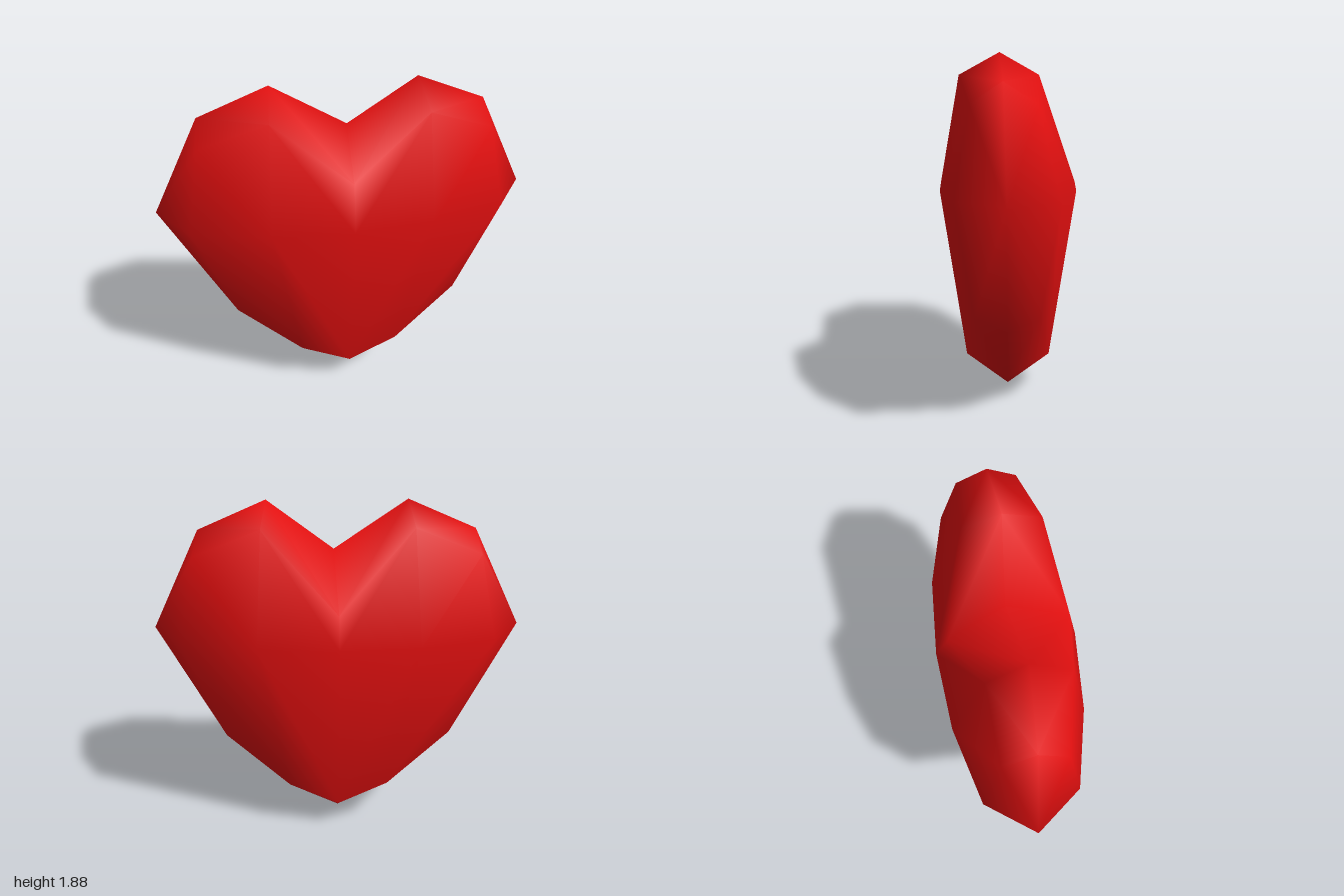
import * as THREE from 'three';

// Cross-sections of the heart across its width. Each loop runs
// bottom, lower front, front, upper front, top, upper back, back, lower back.
const MIDDLE = [
  [0, 0, 0], [0, 0.18, 0.24], [0, 1.2, 0.375], [0, 1.46, 0.325],
  [0.02, 1.63, 0.0], [0, 1.36, -0.3], [0, 1.2, -0.375], [0, 0.18, -0.24],
];
const LOBE = [
  [0.26, 0.14, 0], [0.28, 0.3, 0.22], [0.42, 1.2, 0.34], [0.39, 1.77, 0.24],
  [0.37, 1.88, 0.04], [0.39, 1.77, -0.155], [0.42, 1.2, -0.345], [0.28, 0.3, -0.22],
];
const SIDE = [
  [0.61, 0.52, 0], [0.63, 0.6, 0.16], [0.82, 1.2, 0.24], [0.74, 1.63, 0.17],
  [0.73, 1.73, 0.02], [0.74, 1.63, -0.14], [0.82, 1.2, -0.245], [0.63, 0.6, -0.16],
];

const mirror = (loop) => loop.map(([x, y, z]) => [-x, y, z]);

function heartGeometry() {
  const loops = [mirror(SIDE), mirror(LOBE), MIDDLE, LOBE, SIDE];
  const n = MIDDLE.length;
  const points = [...loops.flat(), [-1, 1.2, 0], [1, 1.2, 0]];
  const leftPole = points.length - 2;
  const rightPole = points.length - 1;
  const last = (loops.length - 1) * n;
  const index = [];
  for (let j = 0; j < n; j++) {
    const k = (j + 1) % n;
    // skin between neighbouring loops, with diagonals mirrored about the middle
    for (let i = 0; i < loops.length - 1; i++) {
      const a = i * n + j, b = a + n, c = (i + 1) * n + k, d = i * n + k;
      const flip = (i < 2) !== (j < n / 2);
      if (flip) index.push(a, b, c, a, c, d);
      else index.push(a, b, d, b, c, d);
    }
    // pointed ends
    index.push(leftPole, j, k);
    index.push(last + j, rightPole, last + k);
  }
  const geometry = new THREE.BufferGeometry();
  geometry.setAttribute('position', new THREE.Float32BufferAttribute(points.flat(), 3));
  geometry.setIndex(index);
  geometry.computeVertexNormals();
  return geometry;
}

export function createModel() {
  const group = new THREE.Group();
  group.name = 'heartModel';
  const red = new THREE.MeshStandardMaterial({ color: 0xe51010 });
  red.name = 'heart red';
  const heart = new THREE.Mesh(heartGeometry(), red);
  heart.name = 'heart';
  group.add(heart);
  return group;
}
